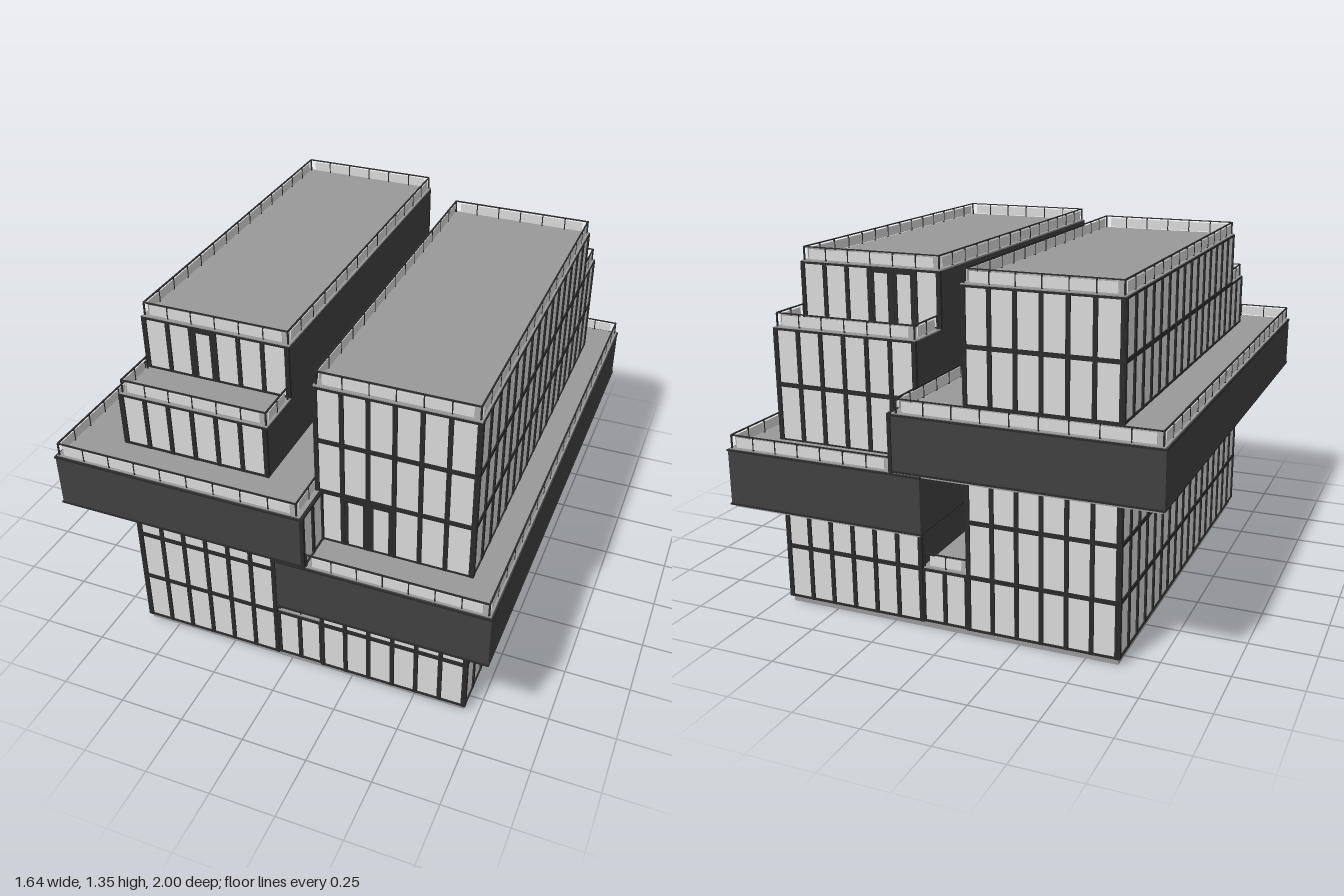
import * as THREE from 'three';
import { mergeGeometries } from 'three/addons/utils/BufferGeometryUtils.js';

const material = (name, color) => Object.assign(new THREE.MeshStandardMaterial({ color }), { name });

export function createModel() {
  const glass = material('pale glass', 0xd9d9d9);
  const frame = material('dark frame', 0x2a2a2a);
  const cladding = material('charcoal cladding', 0x404040);
  const concrete = material('grey concrete', 0x999999);
  const model = new THREE.Group();
  model.name = 'officeBuilding';

  // Box geometry given by its min and max on each axis
  const span = (x0, x1, y0, y1, z0, z1) =>
    new THREE.BoxGeometry(x1 - x0, y1 - y0, z1 - z0)
      .translate((x0 + x1) / 2, (y0 + y1) / 2, (z0 + z1) / 2);
  const add = (parent, name, mat, ...geometries) => {
    const mesh = new THREE.Mesh(mergeGeometries(geometries), mat);
    mesh.name = name;
    parent.add(mesh);
  };

  const levels = [0.025, 0.235, 0.445, 0.655, 0.87, 1.08, 1.29];

  // One storey of windows, built facing +z and turned into place
  function facade(name, width, count, floor, x, z, turn = 0, doors = []) {
    const group = new THREE.Group();
    group.name = name;
    const y0 = levels[floor], y1 = levels[floor + 1], pitch = width / count;
    const panes = [], bars = [];
    for (let i = 0; i <= count; i++) {
      const left = -width / 2 + i * pitch;
      bars.push(span(left - 0.008, left + 0.008, y0, y1, -0.004, 0.009));
      if (i === count) break;
      const inset = doors.includes(i) ? 0.018 : 0.008;
      panes.push(span(left + inset, left + pitch - inset, y0 + 0.008, y1 - 0.008, -0.003, 0.003));
      if (inset > 0.01) {
        for (const jamb of [left + 0.013, left + pitch - 0.013])
          bars.push(span(jamb - 0.006, jamb + 0.006, y0, y1, -0.004, 0.007));
        bars.push(span(left, left + pitch, y1 - 0.022, y1 - 0.006, -0.004, 0.007));
      }
    }
    for (const y of [y0, y1 - 0.008])
      bars.push(span(-width / 2, width / 2, y, y + 0.008, -0.004, 0.008));
    add(group, 'windowPanes', glass, ...panes);
    add(group, 'windowFrames', frame, ...bars);
    group.position.set(x, 0, z);
    group.rotation.y = turn;
    model.add(group);
  }

  // Glass balustrade around a rectangle, on the chosen sides
  function railing(name, x0, x1, z0, z1, y, sides = 'front back left right') {
    const group = new THREE.Group();
    group.name = name;
    const panes = [], bars = [];
    const runs = {
      front: [x0, z1, x1, z1], back: [x0, z0, x1, z0],
      left: [x1, z0, x1, z1], right: [x0, z0, x0, z1],
    };
    for (const side of sides.split(' ')) {
      const [ax, az, bx, bz] = runs[side];
      const alongX = az === bz, from = alongX ? ax : az, to = alongX ? bx : bz;
      const strip = (s0, s1, b, t, d) => alongX
        ? span(s0, s1, b, t, az - d, az + d) : span(ax - d, ax + d, b, t, s0, s1);
      if (to - from > 0.08) panes.push(strip(from + 0.022, to - 0.022, y + 0.006, y + 0.043, 0.0015));
      bars.push(strip(from, to, y + 0.049, y + 0.053, 0.003));
      const count = Math.max(1, Math.round((to - from) / 0.1));
      for (let i = 0; i <= count; i++) {
        const s = from + (to - from) * i / count;
        bars.push(strip(s - 0.002, s + 0.002, y, y + 0.05, 0.003));
      }
    }
    add(group, 'railGlass', glass, ...panes);
    add(group, 'railPosts', frame, ...bars);
    model.add(group);
  }

  // Ground plate
  add(model, 'groundPlate', concrete, span(-0.62, 0.695, 0, 0.025, -0.82, 0.82));

  // Twin towers, each with a top storey stepped back at opposite ends
  add(model, 'rightTowerCore', cladding,
    span(-0.62, -0.05, 0.025, 1.08, -0.825, 0.825), span(-0.62, -0.05, 1.08, 1.29, -0.825, 0.63));
  add(model, 'leftTowerCore', cladding,
    span(0.13, 0.695, 0.025, 1.08, -0.825, 0.825), span(0.13, 0.695, 1.08, 1.29, -0.63, 0.825));
  add(model, 'towerRoofs', concrete,
    span(-0.625, -0.047, 1.288, 1.294, -0.83, 0.635), span(0.127, 0.7, 1.288, 1.294, -0.635, 0.83),
    span(-0.625, -0.047, 1.078, 1.083, 0.64, 0.83), span(0.127, 0.7, 1.078, 1.083, -0.83, -0.64));

  // Window storeys
  const quarter = Math.PI / 2;
  for (const floor of [0, 1, 2, 4, 5]) {
    const top = floor === 5;
    facade('rightTowerFront', 0.56, 6, floor, -0.337, top ? 0.63 : 0.825, 0, top ? [2] : []);
    facade('rightTowerBack', 0.56, 6, floor, -0.337, -0.825, 2 * quarter);
    facade('rightTowerSide', top ? 1.45 : 1.65, top ? 15 : 17, floor, -0.62, top ? -0.0975 : 0, -quarter);
  }
  for (const floor of [0, 1, 3, 4, 5]) {
    const top = floor === 5;
    facade('leftTowerFront', 0.56, 6, floor, 0.414, 0.825, 0, floor === 3 ? [1, 2] : []);
    facade('leftTowerBack', 0.56, 6, floor, 0.414, top ? -0.63 : -0.825, 2 * quarter, top ? [3, 4] : []);
    facade('leftTowerSide', top ? 1.45 : 1.65, top ? 15 : 17, floor, 0.695, top ? 0.0975 : 0, quarter);
  }

  // Low link between the towers
  add(model, 'linkCore', cladding, span(-0.05, 0.13, 0.025, 0.235, -0.82, 0.82));
  add(model, 'linkRoof', concrete, span(-0.05, 0.13, 0.234, 0.24, -0.82, 0.82));
  facade('linkFront', 0.175, 2, 0, 0.04, 0.82);
  facade('linkBack', 0.175, 2, 0, 0.04, -0.82, 2 * quarter);
  railing('linkRailing', -0.045, 0.125, -0.815, 0.815, 0.24, 'front back');

  // Two overhanging slabs crossing the towers at different heights
  const slab = (name, x0, x1, y0, y1) => {
    add(model, name + 'Band', cladding, span(x0, x1, y0, y1, -0.995, 0.995));
    add(model, name + 'Soffit', concrete, span(x0 + 0.008, x1 - 0.008, y0 - 0.01, y0, -0.987, 0.987));
    add(model, name + 'Edge', frame,
      span(x0 - 0.003, x1 + 0.003, y1 - 0.006, y1, -1, 1), span(x0 - 0.003, x1 + 0.003, y0, y0 + 0.006, -1, 1));
    add(model, name + 'Terrace', concrete, span(x0 + 0.004, x1 - 0.004, y1 - 0.001, y1 + 0.003, -0.99, 0.99));
  };
  slab('upperSlab', -0.817, 0.145, 0.66, 0.866);
  slab('lowerSlab', 0.04, 0.817, 0.443, 0.655);
  for (const end of [-1, 1]) facade('upperSlabEndWindows', 0.16, 2, 3, 0.145, end * 0.912, quarter);

  // Balustrades
  railing('upperSlabRailing', -0.805, 0.125, -0.985, 0.985, 0.868);
  railing('lowerSlabRailing', 0.155, 0.805, -0.985, 0.985, 0.657, 'front back left');
  railing('rightRoofRailing', -0.617, -0.055, -0.82, 0.625, 1.292);
  railing('leftRoofRailing', 0.135, 0.692, -0.625, 0.82, 1.292);
  railing('rightTerraceRailing', -0.617, -0.055, 0.65, 0.82, 1.082, 'front left right');
  railing('leftTerraceRailing', 0.135, 0.692, -0.82, -0.65, 1.082, 'back left right');

  return model;
}
